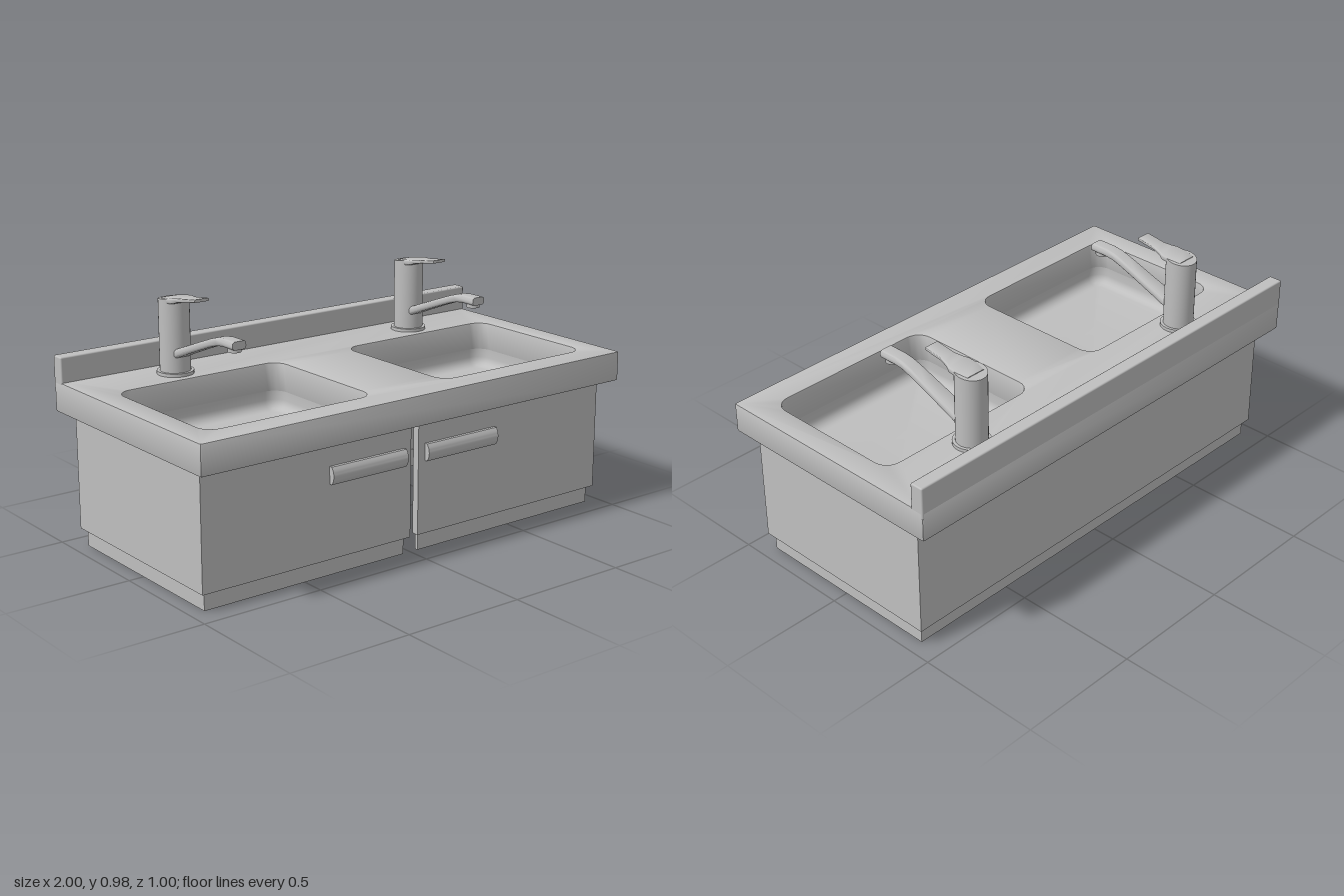
import * as THREE from 'three';
import { toCreasedNormals } from 'three/addons/utils/BufferGeometryUtils.js';
import { RoundedBoxGeometry } from 'three/addons/geometries/RoundedBoxGeometry.js';

const steel = new THREE.MeshStandardMaterial({ color: 0xbfbfbf, side: THREE.DoubleSide });
steel.name = 'brushed grey';

function part(name, geometry, parent) {
  const mesh = new THREE.Mesh(geometry, steel);
  mesh.name = name;
  parent.add(mesh);
  return mesh;
}

// Outline of a rounded rectangle, anticlockwise
function roundedRect(cx, cy, hw, hh, r, steps = 6) {
  const pts = [];
  [[1, 1], [-1, 1], [-1, -1], [1, -1]].forEach(([sx, sy], q) => {
    for (let i = 0; i <= steps; i++) {
      const a = (q + i / steps) * Math.PI / 2;
      pts.push(new THREE.Vector2(cx + sx * (hw - r) + r * Math.cos(a), cy + sy * (hh - r) + r * Math.sin(a)));
    }
  });
  return pts;
}

// Skin over a list of equal-length rings, with optional end caps
function loft(rings, capStart, capEnd, crease = 0.6) {
  const n = rings[0].length;
  const verts = rings.flat();
  const index = [];
  for (let k = 0; k < rings.length - 1; k++) {
    for (let i = 0; i < n; i++) {
      const j = (i + 1) % n, a = k * n, b = a + n;
      index.push(a + i, a + j, b + j, a + i, b + j, b + i);
    }
  }
  const cap = (k, flip) => {
    const c = new THREE.Vector3();
    rings[k].forEach(p => c.addScaledVector(p, 1 / n));
    const ci = verts.push(c) - 1;
    for (let i = 0; i < n; i++) {
      const a = k * n + i, b = k * n + (i + 1) % n;
      index.push(ci, flip ? b : a, flip ? a : b);
    }
  };
  if (capStart) cap(0, true);
  if (capEnd) cap(rings.length - 1, false);
  const g = new THREE.BufferGeometry().setFromPoints(verts);
  g.setIndex(index);
  return toCreasedNormals(g, crease);
}

// Extrude a floor plan (x, -z) upward from y0 to y1
function extrudeUp(shape, y0, y1, bevel = 0) {
  const g = new THREE.ExtrudeGeometry(shape, {
    depth: y1 - y0 - 2 * bevel, bevelEnabled: bevel > 0, bevelThickness: bevel,
    bevelSize: bevel, bevelOffset: -bevel, bevelSegments: 2,
  });
  g.rotateX(-Math.PI / 2);
  g.translate(0, y0 + bevel, 0);
  return toCreasedNormals(g, 0.6);
}

// Thin wall running round a rectangle, split at the centre of the front
function splitWall(hx, hz, t, gap, y0, y1) {
  const s = new THREE.Shape([
    [gap, -hz], [hx, -hz], [hx, hz], [-hx, hz], [-hx, -hz], [-gap, -hz],
    [-gap, -hz + t], [-hx + t, -hz + t], [-hx + t, hz - t],
    [hx - t, hz - t], [hx - t, -hz + t], [gap, -hz + t],
  ].map(p => new THREE.Vector2(...p)));
  return extrudeUp(s, y0, y1);
}

const BASIN = { x: 0.535, z: 0.085, hw: 0.365, hd: 0.302, r: 0.06 };

function basinGeometry() {
  const ring = (y, inset) => roundedRect(0, 0, BASIN.hw - inset, BASIN.hd - inset, BASIN.r - inset)
    .map(p => new THREE.Vector3(p.x, y, -p.y));
  const rings = [ring(0.536, 0)];
  for (let i = 0; i <= 5; i++) {
    const a = i / 5 * Math.PI / 2;
    rings.push(ring(0.5 - 0.04 * Math.sin(a), 0.04 * (1 - Math.cos(a))));
  }
  return loft(rings, false, true, 0.8);
}

// Bar whose soft rectangular sections are [z, y, half width, half height]
function bar(sections, round) {
  return loft(sections.map(([z, y, hw, hh]) =>
    roundedRect(0, y, hw, hh, hh * round, 4).map(p => new THREE.Vector3(p.x, p.y, z))), true, true);
}

function makeTap() {
  const tap = new THREE.Group();
  const z0 = -0.315;
  part('tapBase', new THREE.CylinderGeometry(0.072, 0.072, 0.014, 24), tap).position.set(0, 0.656, z0);

  // Body with a sloping top
  const body = new THREE.CylinderGeometry(0.06, 0.06, 0.29, 32);
  body.translate(0, 0.805, z0);
  const p = body.attributes.position;
  for (let i = 0; i < p.count; i++) {
    if (p.getY(i) > 0.9) p.setY(i, 0.94 + 0.13 * (p.getZ(i) + 0.375));
  }
  part('tapBody', toCreasedNormals(body, 0.6), tap);

  part('tapLever', bar([
    [-0.34, 0.94, 0.04, 0.007], [-0.29, 0.943, 0.052, 0.011], [-0.255, 0.947, 0.05, 0.011],
    [-0.235, 0.952, 0.04, 0.008], [-0.2, 0.957, 0.031, 0.007], [-0.12, 0.969, 0.031, 0.006],
  ], 0.6), tap);

  part('tapSpout', bar([
    [-0.29, 0.729, 0.036, 0.018], [-0.2, 0.765, 0.034, 0.017], [-0.1, 0.803, 0.032, 0.016],
    [-0.03, 0.829, 0.031, 0.016], [0.01, 0.841, 0.03, 0.016], [0.05, 0.846, 0.03, 0.016],
    [0.122, 0.846, 0.03, 0.016],
  ], 0.7), tap);

  part('aerator', new THREE.CylinderGeometry(0.026, 0.026, 0.02, 20), tap).position.set(0, 0.827, 0.09);
  return tap;
}

// Door pull: bowed front, running through the door
function handleGeometry() {
  const s = new THREE.Shape();
  s.moveTo(0.4, 0.362);
  s.lineTo(0.438, 0.362);
  s.quadraticCurveTo(0.462, 0.396, 0.438, 0.43);
  s.lineTo(0.4, 0.43);
  s.closePath();
  const g = new THREE.ExtrudeGeometry(s, { depth: 0.35, bevelEnabled: false, curveSegments: 10 });
  g.rotateY(-Math.PI / 2);
  g.scale(-1, 1, 1);
  // Restore face order after mirroring
  const a = g.attributes.position;
  for (let i = 0; i < a.count; i += 3) {
    const v = new THREE.Vector3().fromBufferAttribute(a, i), w = new THREE.Vector3().fromBufferAttribute(a, i + 1);
    a.setXYZ(i, w.x, w.y, w.z);
    a.setXYZ(i + 1, v.x, v.y, v.z);
  }
  g.translate(-0.175, 0, 0);
  return toCreasedNormals(g, 0.6);
}

export function createModel() {
  const model = new THREE.Group();
  model.name = 'doubleSink';

  // Worktop with two basin openings
  const top = new THREE.Shape(roundedRect(0, 0, 1, 0.5, 0.008, 2));
  for (const s of [-1, 1]) {
    top.holes.push(new THREE.Path(roundedRect(s * BASIN.x, -BASIN.z, BASIN.hw, BASIN.hd, BASIN.r).reverse()));
  }
  part('worktop', extrudeUp(top, 0.53, 0.65, 0.006), model);
  part('backsplash', new RoundedBoxGeometry(2, 0.13, 0.056, 2, 0.006), model).position.set(0, 0.685, -0.472);

  // Cabinet and recessed plinth, both open underneath
  part('cabinet', splitWall(0.957, 0.425, 0.03, 0.018, 0.07, 0.532), model);
  part('plinth', splitWall(0.938, 0.405, 0.015, 0.035, 0, 0.075), model);

  // Basins, taps and door handles, one on each side
  const basin = basinGeometry(), handle = handleGeometry();
  for (const s of [-1, 1]) {
    const side = s > 0 ? 'left' : 'right';
    part(side + 'Basin', basin, model).position.set(s * BASIN.x, 0, BASIN.z);
    part(side + 'Handle', handle, model).position.x = s * 0.225;
    const tap = makeTap();
    tap.name = side + 'Tap';
    tap.position.x = s * 0.578;
    model.add(tap);
  }
  return model;
}
